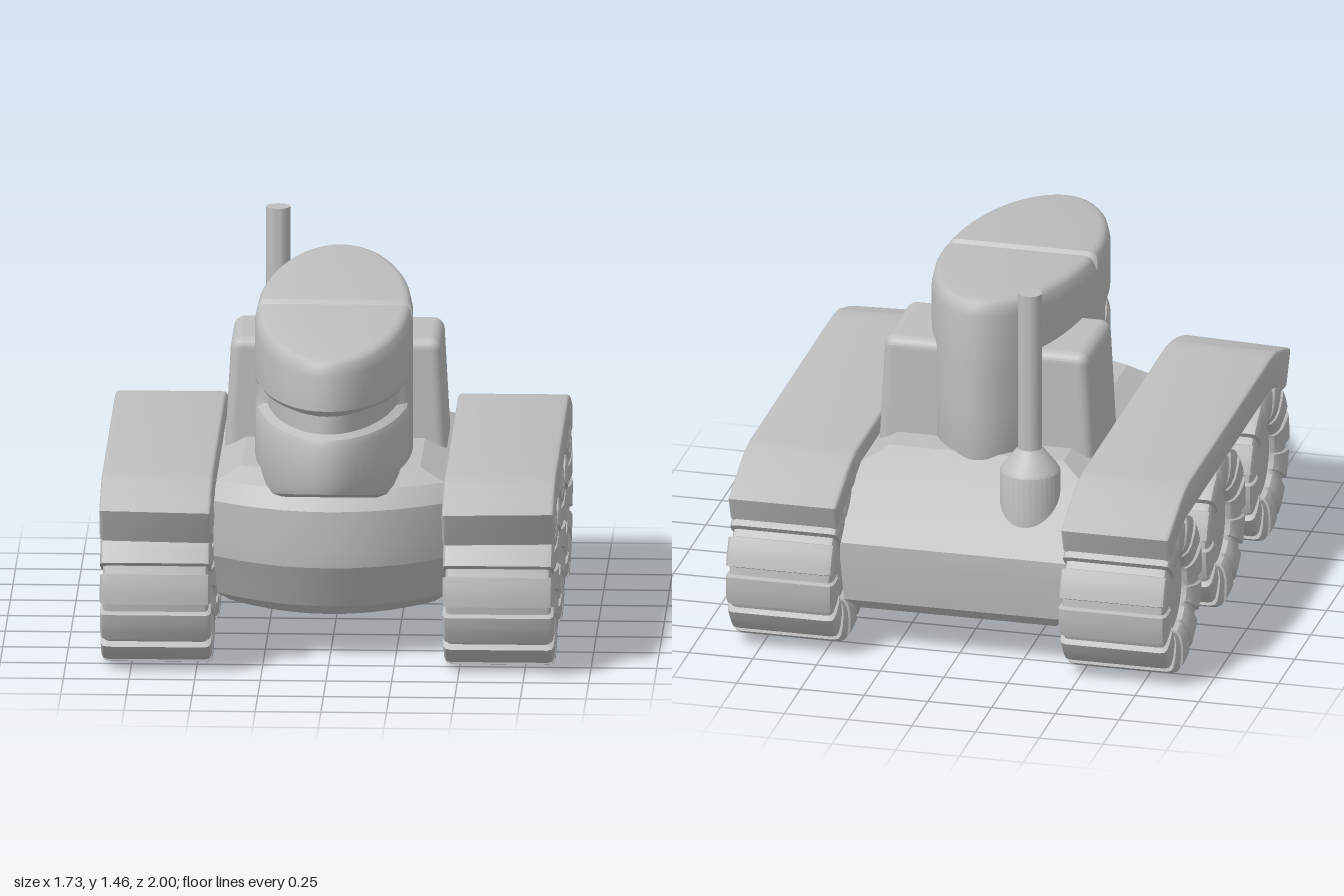
import * as THREE from 'three';
import { toCreasedNormals } from 'three/addons/utils/BufferGeometryUtils.js';
import { RoundedBoxGeometry } from 'three/addons/geometries/RoundedBoxGeometry.js';

const grey = new THREE.MeshStandardMaterial({ color: 0xbebebe });
grey.name = 'clay grey';

// Skin a stack of closed rings (bottom to top, each [x, y, z] list) and cap both ends.
function loft(rings, crease) {
  const n = rings[0].length, pos = rings.flat(2), index = [];
  for (let r = 0; r < rings.length - 1; r++) {
    for (let i = 0; i < n; i++) {
      const j = (i + 1) % n, a = r * n + i, b = r * n + j;
      index.push(a, b, b + n, a, b + n, a + n);
    }
  }
  const top = (rings.length - 1) * n;
  for (let i = 0; i < n / 2 - 0.5; i++) {
    const a = i, b = i + 1, c = n - i - 1, d = (n - i) % n;
    if (b !== c) {
      index.push(top + a, top + b, top + c, a, c, b);
    }
    if (a !== d) {
      index.push(top + a, top + c, top + d, a, d, c);
    }
  }
  const g = new THREE.BufferGeometry();
  g.setAttribute('position', new THREE.Float32BufferAttribute(pos, 3));
  g.setIndex(index);
  return toCreasedNormals(g, crease);
}

function add(parent, name, geometry, x = 0, y = 0, z = 0) {
  const m = new THREE.Mesh(geometry, grey);
  m.name = name;
  m.position.set(x, y, z);
  parent.add(m);
  return m;
}

// Hull: flat sides, bowed front, sloping rear deck
function hullGeometry() {
  // y, half width, rear z, front z at the side, front z at the middle
  const levels = [
    [0.17, 0.39, -0.80, 0.40, 0.62],
    [0.21, 0.435, -0.83, 0.45, 0.66],
    [0.38, 0.445, -0.85, 0.56, 0.75],
    [0.45, 0.445, -0.85, 0.57, 0.755],
    [0.60, 0.445, -0.67, 0.58, 0.75],
    [0.67, 0.435, -0.57, 0.54, 0.68],
    [0.72, 0.34, -0.49, 0.50, 0.58],
  ];
  const steps = 5;
  return loft(levels.map(([y, w, rear, side, mid]) => {
    const ring = [];
    const front = t => [t * w, y, mid - (mid - side) * t * t];
    for (let i = 0; i <= steps; i++) ring.push(front(i / steps));
    ring.push([w, y, rear], [-w, y, rear]);
    for (let i = steps; i > 0; i--) ring.push(front(-i / steps));
    return ring;
  }), 0.25);
}

// Cab: tall ellipse with a slanted roof, a roof seam and a visor groove round the front
function cabGeometry() {
  const A = 0.3, B = 0.72, Z0 = 0.2;
  const half = [];
  for (let i = 0; i <= 36; i++) half.push(i * Math.PI / 36);
  for (const z of [0.17, 0.23, 0.335, 0.355, 0.375, 0.395]) half.push(Math.acos((z - Z0) / B));
  half.sort((a, b) => a - b);
  const angles = [...half, ...half.slice(1, -1).reverse().map(a => 2 * Math.PI - a)];
  const low = z => 0.6 + Math.max(0, z - 0.5) * 0.22;
  const high = z => 1.23 + (0.92 - z) * 0.083;
  const seam = z => (Math.abs(z - Z0) < 0.01 ? 0.03 : 0);
  const slot = z => THREE.MathUtils.smoothstep(z, 0.34, 0.4);
  const rows = [
    [low, () => 0.04],
    [z => low(z) + 0.015, () => 0.012],
    [z => low(z) + 0.05, () => 0],
    [() => 0.895, () => 0],
    [z => 0.91 + 0.01 * slot(z), z => 0.012 * slot(z)],
    [() => 0.935, z => 0.045 * slot(z)],
    [() => 1.005, z => 0.045 * slot(z)],
    [() => 1.02, z => 0.012 * slot(z)],
    [() => 1.035, () => 0],
    [z => high(z) - 0.06, () => 0],
    [z => high(z) - 0.02 - seam(z), () => 0.009],
    [z => high(z) - 0.005 - seam(z), () => 0.022],
    [z => high(z) - seam(z), () => 0.04],
  ];
  return loft(rows.map(([height, inset]) => angles.map(t => {
    const x = A * Math.sin(t), z = Z0 + B * Math.cos(t);
    const nx = Math.sin(t) / A, nz = Math.cos(t) / B, k = inset(z) / Math.hypot(nx, nz);
    return [x - nx * k, height(z), z - nz * k];
  })), 0.6);
}

// Wheel: rounded tyre with twelve tread blocks and recessed hubs
function wheelGeometry() {
  const side = [[0.145, 0.165], [0.15, 0.185], [0.17, 0.2], [0.2, 0.209],
    [0.25, 0.212], [0.285, 0.21], [0.3, 0.202], [0.305, 0.185]];
  const profile = [...side.map(([r, h]) => [r, -h]), ...side.slice().reverse()];
  const cuts = [[-0.4, 0], [-0.36, 1], [-0.12, 1], [0.12, 1], [0.36, 1], [0.4, 0]];
  const spokes = [];
  for (let i = 0; i < 12; i++) for (const [f, block] of cuts) spokes.push([(i + f) * Math.PI / 6, block]);
  const g = loft(profile.map(([r, h]) => spokes.map(([a, block]) => {
    const rr = block ? r : 0.145 + (r - 0.145) * 0.86;
    const hh = block || r < 0.148 ? h : h * 0.95;
    return [rr * Math.sin(a), hh, rr * Math.cos(a)];
  })), 0.6);
  return g.rotateZ(Math.PI / 2).rotateX(-0.13);
}

// Fender: long plank drooping at both ends, front edge swept back outwards
function fenderGeometry(sign) {
  const b = 0.014;
  const s = new THREE.Shape();
  s.moveTo(0.93, 0.535);
  s.lineTo(0.985, 0.645);
  s.quadraticCurveTo(0.8, 0.72, 0.66, 0.72);
  s.lineTo(-0.6, 0.72);
  s.quadraticCurveTo(-0.7, 0.715, -0.92, 0.615);
  s.lineTo(-0.89, 0.54);
  s.quadraticCurveTo(-0.74, 0.615, -0.64, 0.615);
  s.lineTo(0.64, 0.615);
  s.quadraticCurveTo(0.76, 0.6, 0.82, 0.555);
  s.quadraticCurveTo(0.86, 0.535, 0.93, 0.535);
  const depth = 0.425 - 2 * b;
  let g = new THREE.ExtrudeGeometry(s, {
    depth, bevelSize: b, bevelThickness: b, bevelSegments: 3, curveSegments: 8,
  });
  g.translate(0, 0, -depth / 2).rotateY(-Math.PI / 2).translate(sign * 0.6525, 0, 0);
  const p = g.attributes.position;
  for (let i = 0; i < p.count; i++) {
    const out = Math.max(0, (Math.abs(p.getX(i)) - 0.44) / 0.425);
    if (p.getZ(i) > 0.8) p.setZ(i, p.getZ(i) - 0.03 * out * out);
  }
  return toCreasedNormals(g, 0.6);
}

export function createModel() {
  const model = new THREE.Group();
  model.name = 'sixWheeledRover';
  add(model, 'hull', hullGeometry());
  add(model, 'cab', cabGeometry());

  // Side pods flanking the cab, leaning in towards the top
  const pods = new RoundedBoxGeometry(0.84, 0.5, 0.4, 4, 0.04);
  const p = pods.attributes.position;
  for (let i = 0; i < p.count; i++) {
    const t = p.getY(i) / 0.5 + 0.5;
    p.setX(i, p.getX(i) * (1.01 - 0.065 * t * t));
  }
  pods.computeVertexNormals();
  add(model, 'sidePods', pods, 0, 0.855, -0.16);

  // Exhaust stack on the rear deck
  const stack = [[0, 0.45], [0.115, 0.45], [0.115, 0.735], [0.105, 0.75],
    [0.055, 0.815], [0.046, 0.825], [0.046, 1.46], [0, 1.46]];
  const stackGeo = new THREE.LatheGeometry(stack.map(([r, y]) => new THREE.Vector2(r, y)), 32);
  add(model, 'exhaustStack', toCreasedNormals(stackGeo, 0.6), -0.245, 0, -0.63);

  // Wheels and fenders
  const wheel = wheelGeometry();
  for (const [side, sign] of [['left', 1], ['right', -1]]) {
    add(model, side + 'Fender', fenderGeometry(sign));
    [['Front', 0.67], ['Middle', -0.01], ['Rear', -0.69]].forEach(([place, z]) => {
      add(model, side + place + 'Wheel', wheel, sign * 0.6525, 0.305, z);
    });
  }
  return model;
}
